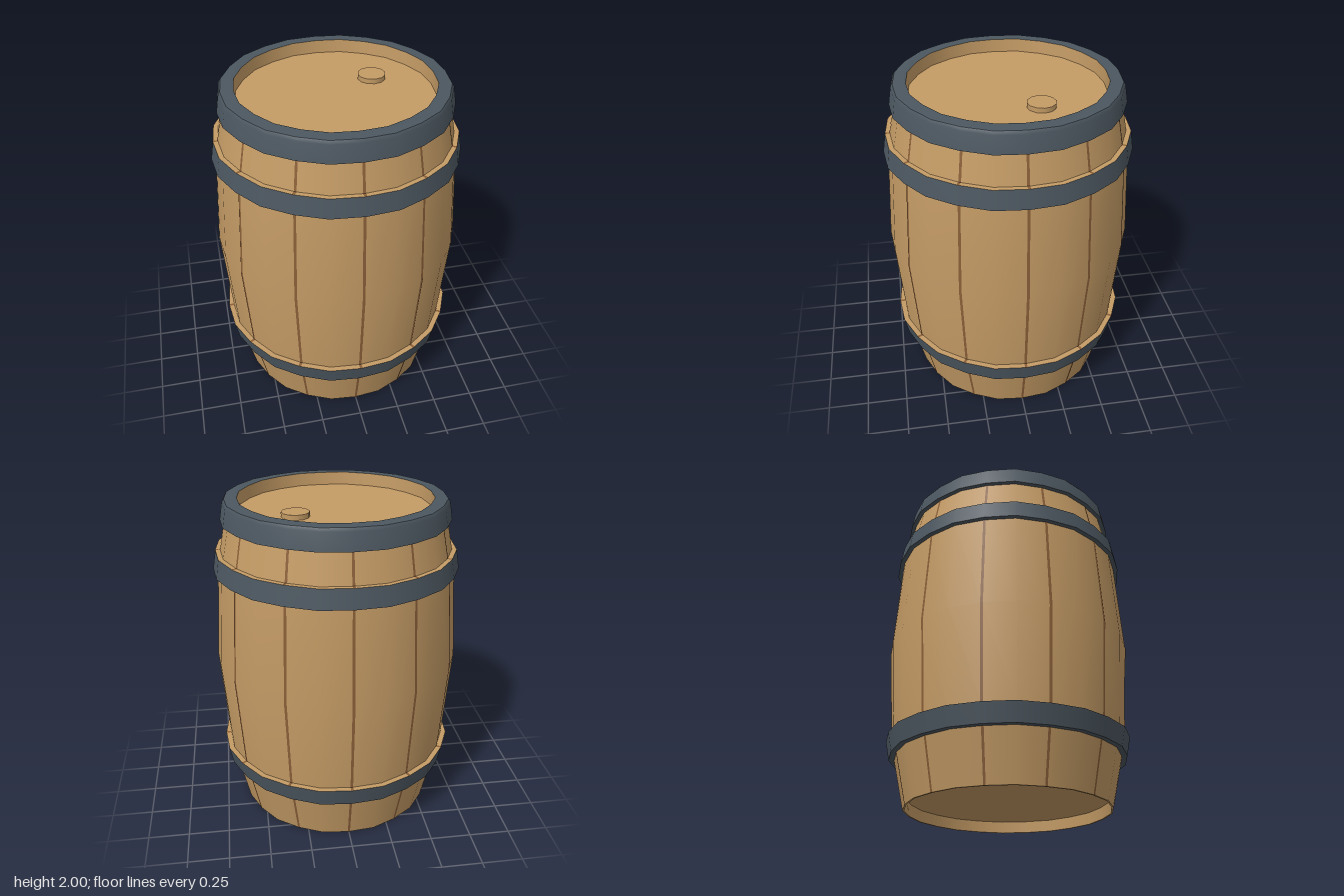
import * as THREE from 'three';

const SIDES = 24;   // two facets per stave
const STAVES = 12;

export function createModel() {
  const mat = (name, color) => {
    const m = new THREE.MeshStandardMaterial({ color });
    m.name = name;
    return m;
  };
  const wood = mat('oak wood', 0xc49b65);
  const seam = mat('dark seam', 0x8a5f38);
  const iron = mat('iron grey', 0x4c5760);

  const barrel = new THREE.Group();
  barrel.name = 'barrel';
  const add = (name, geometry, material, parent = barrel) => {
    const mesh = new THREE.Mesh(geometry, material);
    mesh.name = name;
    parent.add(mesh);
    return mesh;
  };
  const vec = (points) => points.map(([r, y]) => new THREE.Vector2(r, y));

  // Surface of revolution; stave middles bulge slightly past the joints
  const band = (name, points, material, parent) => {
    const g = new THREE.LatheGeometry(vec(points), SIDES);
    const p = g.attributes.position;
    for (let i = 0; i < p.count; i++) {
      const column = Math.floor(i / points.length);
      const k = column % 2 ? 1.008 : 1;
      p.setX(i, p.getX(i) * k);
      p.setZ(i, p.getZ(i) * k);
    }
    return add(name, g, material, parent);
  };

  // Thin dark joints laid along a wooden run
  const seams = (points, parent) => {
    const width = 0.022;
    const raised = vec(points.map(([r, y]) => [r + 0.002, y]));
    for (let i = 0; i < STAVES; i++) {
      const angle = (i / STAVES) * Math.PI * 2 - width / 2;
      add('staveSeam', new THREE.LatheGeometry(raised, 1, angle, width), seam, parent);
    }
  };

  // Stave runs between the hoops
  const runs = {
    lowerStaves: [[0.615, 0], [0.682, 0.3]],
    middleStaves: [[0.705, 0.415], [0.748, 1], [0.71, 1.58]],
    upperStaves: [[0.69, 1.695], [0.653, 1.88]],
  };
  for (const [name, points] of Object.entries(runs)) {
    const group = new THREE.Group();
    group.name = name;
    barrel.add(group);
    band(name + 'Wood', points, wood, group);
    seams(points, group);
  }

  // Hoops: underside and outer face in iron, wooden ledge on top
  const hoops = [
    { name: 'lowerHoop', y0: 0.3, y1: 0.415, in0: 0.68, out0: 0.715, out1: 0.738, in1: 0.703 },
    { name: 'upperHoop', y0: 1.58, y1: 1.695, in0: 0.708, out0: 0.738, out1: 0.719, in1: 0.688 },
  ];
  for (const h of hoops) {
    const group = new THREE.Group();
    group.name = h.name;
    barrel.add(group);
    band(h.name + 'Underside', [[h.in0, h.y0], [h.out0, h.y0]], iron, group);
    band(h.name + 'Face', [[h.out0, h.y0], [h.out1, h.y1]], iron, group);
    band(h.name + 'Ledge', [[h.out1, h.y1], [h.in1, h.y1]], wood, group);
    for (let i = 0; i < STAVES; i++) {
      const angle = (i / STAVES) * Math.PI * 2 - 0.011;
      const strip = vec([[h.out1, h.y1 + 0.002], [h.in1, h.y1 + 0.002]]);
      add('ledgeSeam', new THREE.LatheGeometry(strip, 1, angle, 0.022), seam, group);
    }
  }

  // Rim hoop capping the top
  band('rimUnderside', [[0.65, 1.877], [0.68, 1.877]], iron);
  band('rimFace', [[0.68, 1.877], [0.662, 1.98], [0.65, 1.998]], iron);
  band('rimTop', [[0.65, 1.998], [0.63, 2], [0.575, 2]], iron);
  band('rimInnerWall', [[0.575, 2], [0.57, 1.92]], wood);

  // Recessed lid with its round bung
  const lid = add('lid', new THREE.CircleGeometry(0.575, SIDES), wood);
  lid.rotation.x = -Math.PI / 2;
  lid.position.y = 1.922;
  const bung = add('bung', new THREE.CylinderGeometry(0.083, 0.083, 0.03, 12), wood);
  bung.position.set(0.25, 1.936, -0.15);

  // Recessed base
  band('baseInnerWall', [[0.6, 0.07], [0.605, 0]], wood);
  band('baseEdge', [[0.605, 0], [0.615, 0]], wood);
  const base = add('base', new THREE.CircleGeometry(0.606, SIDES), wood);
  base.rotation.x = Math.PI / 2;
  base.position.y = 0.07;

  return barrel;
}
